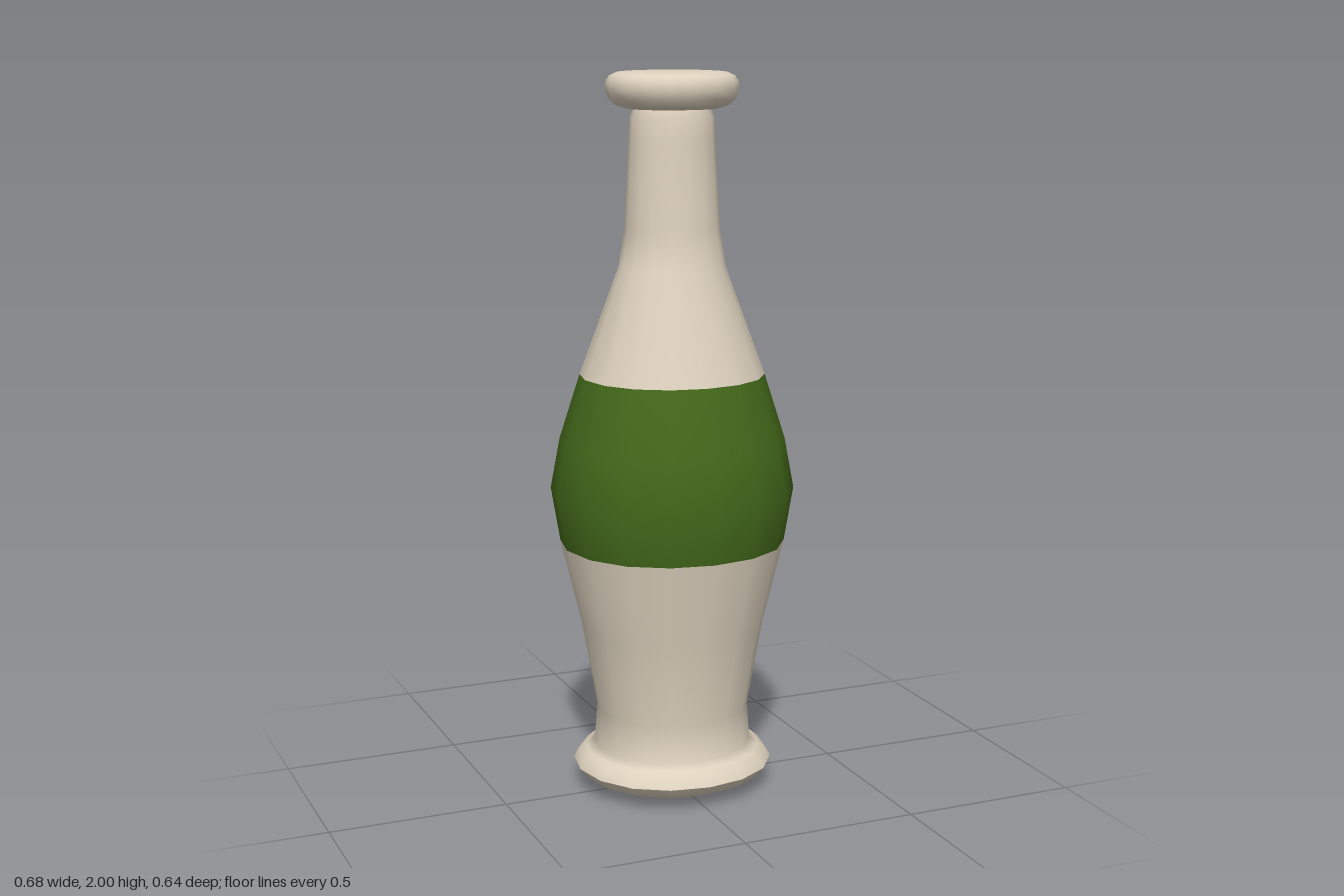
import * as THREE from 'three';
import { mergeVertices } from 'three/addons/utils/BufferGeometryUtils.js';

const SIDES = 16;
const cream = new THREE.MeshStandardMaterial({ color: 0xded2be });
const green = new THREE.MeshStandardMaterial({ color: 0x43681a });

// Smooth lathe, slightly flattened front to back
function turned(profile) {
  const geo = new THREE.LatheGeometry(profile.map(([r, y]) => new THREE.Vector2(r, y)), SIDES);
  const p = geo.attributes.position;
  for (let i = 0; i < p.count; i++) {
    const x = p.getX(i), z = p.getZ(i);
    const r2 = x * x + z * z;
    if (r2 > 1e-9) p.setZ(i, z * (0.947 + 0.05 * x * x / r2));
  }
  // weld the seam so that shading runs all the way round
  geo.deleteAttribute('uv');
  geo.deleteAttribute('normal');
  const welded = mergeVertices(geo, 1e-5);
  welded.computeVertexNormals();
  return welded;
}

// Keep only the profile steps from..to, with the shading of the whole lathe
function band(geo, steps, from, to) {
  const part = geo.clone();
  const kept = Array.from(geo.index.array).filter((_, i) => {
    const step = Math.floor(i / 6) % steps;
    return step >= from && step < to;
  });
  part.setIndex(kept);
  return part;
}

export function createModel() {
  const group = new THREE.Group();
  const add = (name, geo, material = cream) => {
    const mesh = new THREE.Mesh(geo, material);
    mesh.name = name;
    group.add(mesh);
  };

  // Bottle wall: foot flare, waist, belly, shoulder, neck
  const wall = [
    [0.28, 0.07], [0.268, 0.093], [0.245, 0.112], [0.221, 0.125],
    [0.213, 0.23], [0.255, 0.47], [0.313, 0.71],
    [0.338, 0.86], [0.312, 1.0], [0.255, 1.18],
    [0.145, 1.48], [0.13, 1.58], [0.117, 1.82], [0.113, 1.88], [0.1, 1.91],
  ];
  const bottle = turned(wall);
  const steps = wall.length - 1;
  add('lowerBody', band(bottle, steps, 0, 6));
  add('label', band(bottle, steps, 6, 9), green);
  add('shoulderAndNeck', band(bottle, steps, 9, steps));

  // Shallow domed underside
  add('base', turned([[0, 0], [0.13, 0.004], [0.21, 0.02], [0.258, 0.042], [0.28, 0.07]]));

  // Rounded cap with a flat top
  add('cap', turned([
    [0, 1.9], [0.125, 1.902], [0.152, 1.91], [0.172, 1.928], [0.18, 1.953],
    [0.178, 1.974], [0.168, 1.989], [0.148, 1.998], [0.12, 2], [0, 2],
  ]));
  return group;
}
